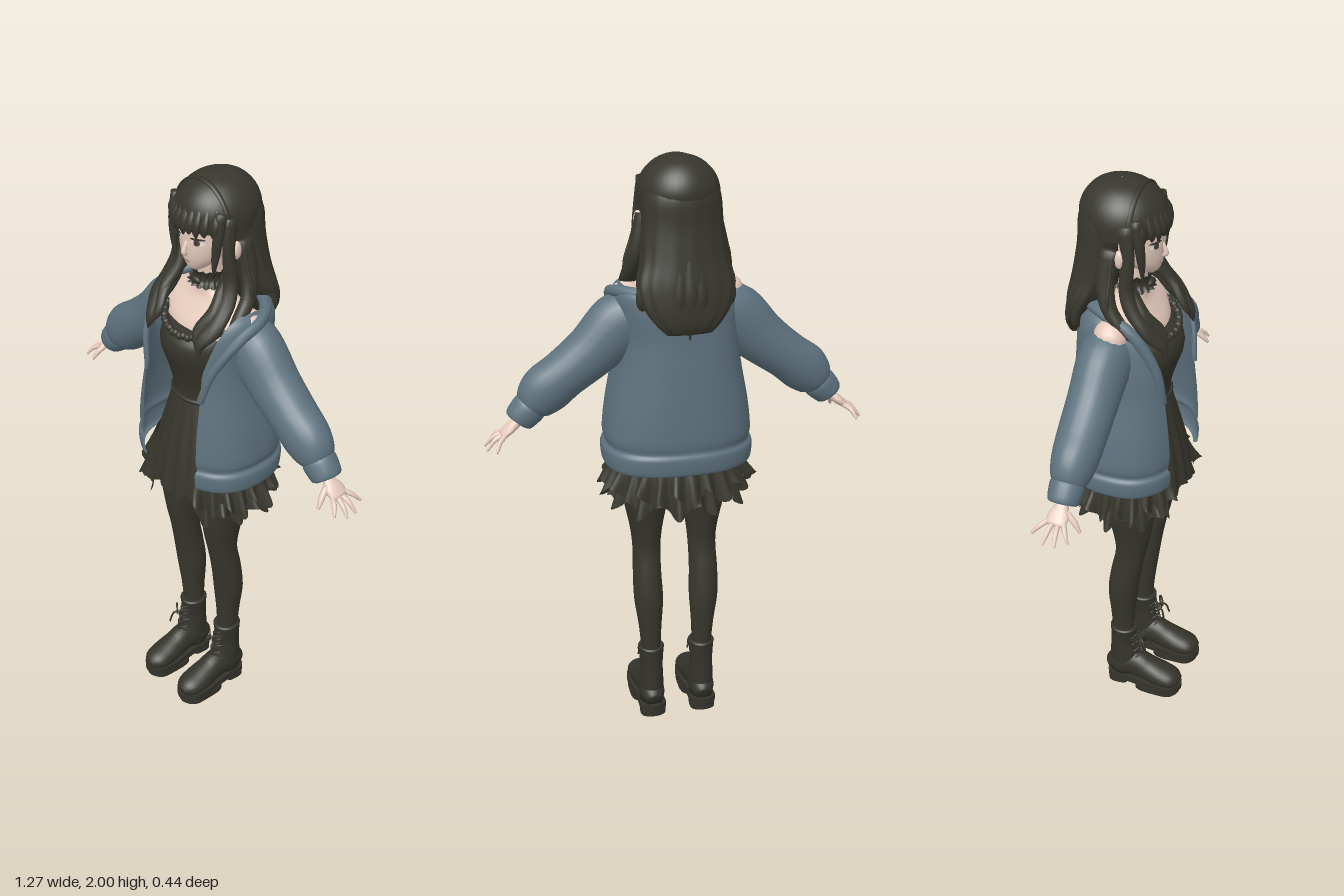
import * as THREE from 'three';

const mat = (name, color, double) => {
  const m = new THREE.MeshStandardMaterial({ color });
  m.name = name;
  if (double) m.side = THREE.DoubleSide;
  return m;
};
const { PI, sin, cos, abs, sign, max, min, sqrt } = Math;

// Sweeps an ellipse through points [x, y, z, radiusA, radiusB].
// 'out' is the direction of radiusB; 'up' keeps the rings level;
// 'arc' opens the ring; 'e' below 1 squares it; 'shape' moves vertices.
function sweep(pts, o = {}) {
  const { n = 18, out = [0, 0, 1], up = false, arc = null, e = 1, shape = null } = o;
  const m = o.m || (pts.length - 1) * 4;
  const path = new THREE.CatmullRomCurve3(pts.map(p => new THREE.Vector3(p[0], p[1], p[2])), false, 'catmullrom', 0.5);
  const radii = new THREE.CatmullRomCurve3(pts.map(p => new THREE.Vector3(p[3], p[4] ?? p[3], 0)), false, 'catmullrom', 0.5);
  const ref = new THREE.Vector3(...out), pos = [], idx = [], cols = arc ? n + 1 : n;
  for (let i = 0; i <= m; i++) {
    const t = i / m, c = path.getPoint(t), r = radii.getPoint(t);
    const T = up ? new THREE.Vector3(0, 1, 0) : path.getTangent(t);
    const A = T.clone().cross(ref).normalize(), B = A.clone().cross(T);
    const [a0, a1] = arc ? arc(c, r.x) : [0, 2 * PI];
    for (let j = 0; j < cols; j++) {
      const th = a0 + (a1 - a0) * j / n, u = cos(th), v = sin(th);
      const p = c.clone()
        .addScaledVector(A, max(r.x, 0.0005) * sign(u) * abs(u) ** e)
        .addScaledVector(B, max(r.y, 0.0005) * sign(v) * abs(v) ** e);
      if (shape) shape(p, t, th, c);
      pos.push(p.x, p.y, p.z);
    }
  }
  for (let i = 0; i < m; i++) for (let j = 0; j < n; j++) {
    const k = arc ? j + 1 : (j + 1) % n, a = i * cols + j, b = a + cols, c = i * cols + k, d = c + cols;
    idx.push(a, b, c, b, d, c);
  }
  if (!arc && !o.open) for (const [row, flip, p] of [[0, false, pts[0]], [m, true, pts[pts.length - 1]]]) {
    const mid = pos.length / 3;
    pos.push(p[0], p[1], p[2]);
    for (let j = 0; j < n; j++) {
      const a = row * n + j, b = row * n + (j + 1) % n;
      idx.push(mid, flip ? b : a, flip ? a : b);
    }
  }
  const g = new THREE.BufferGeometry();
  g.setAttribute('position', new THREE.Float32BufferAttribute(pos, 3));
  g.setIndex(idx);
  g.computeVertexNormals();
  return g;
}
// Level sections [y, z centre, x radius, z radius, x centre]
const stack = (rows, o = {}) => sweep(rows.map(([y, z, a, b, x = 0]) => [x, y, z, a, b]), { up: true, n: 32, ...o });

export function createModel() {
  const skin = mat('skin', 0xe6cbbd), hair = mat('hair', 0x38372e, true), dress = mat('dress', 0x36352c, true);
  const tights = mat('tights', 0x37362d), boots = mat('boots', 0x34332b), jacket = mat('jacket', 0x5e727e, true);
  const white = mat('eyeWhite', 0xe4e0dc), iris = mat('iris', 0x5a4a42), lip = mat('lips', 0xc48f87);
  const root = new THREE.Group();
  root.name = 'girlInJacket';
  const add = (name, geo, material, parent = root) => {
    const mesh = new THREE.Mesh(geo, material);
    mesh.name = name;
    parent.add(mesh);
    return mesh;
  };
  const ball = (name, material, p, s, parent) => {
    const b = add(name, new THREE.SphereGeometry(1, 14, 10), material, parent);
    b.position.set(...p);
    b.scale.set(...s);
    return b;
  };

  // Head and face
  const head = add('head', stack([[1.705, .05, .014, .016], [1.72, .04, .036, .04], [1.75, .022, .064, .068], [1.79, .008, .083, .085],
    [1.83, 0, .09, .092], [1.88, -.01, .095, .1], [1.95, -.02, .08, .09], [1.98, -.03, .04, .05]]), skin);
  const ray = new THREE.Raycaster();
  const decal = (name, x, y, a, b, lift, material) => {
    const g = new THREE.CircleGeometry(1, 20).scale(a, b, 1).translate(x, y, 0), p = g.attributes.position;
    for (let i = 0; i < p.count; i++) {
      ray.set(new THREE.Vector3(p.getX(i), p.getY(i), 1), new THREE.Vector3(0, 0, -1));
      const hit = ray.intersectObject(head)[0];
      p.setZ(i, (hit ? hit.point.z : 0.08) + lift);
    }
    g.computeVertexNormals();
    add(name, g, material);
  };
  for (const s of [-1, 1]) {
    decal('eyeWhite', s * .041, 1.816, .019, .011, .002, white);
    decal('iris', s * .04, 1.816, .0095, .011, .0035, iris);
    decal('pupil', s * .04, 1.816, .005, .006, .0045, hair);
    decal('upperLash', s * .042, 1.828, .022, .004, .005, hair);
    ball('ear', skin, [s * .122, 1.795, .0], [.014, .03, .017]);
  }
  decal('mouth', 0, 1.744, .015, .004, .002, lip);
  add('nose', sweep([[0, 1.81, .09, .005, .004], [0, 1.785, .1, .008, .007], [0, 1.773, .1, .009, .008], [0, 1.765, .088, .005, .004]], { n: 10 }), skin);

  // Neck, chest and shoulders
  add('neckAndChest', stack([[1.36, .01, .1, .08], [1.45, .015, .13, .1], [1.52, .015, .155, .085], [1.565, 0, .175, .07], [1.6, -.01, .13, .055],
    [1.63, -.01, .06, .048], [1.67, -.005, .044, .044], [1.76, .005, .042, .044]]), skin);
  for (const s of [-1, 1]) ball('shoulder', skin, [s * .165, 1.55, -.01], [.055, .055, .055]);

  // Choker with frilled edges
  const frill = (p, t, th, c) => {
    const k = 1 + .09 * sin(th * 16) * abs(t * 2 - 1);
    p.x = c.x + (p.x - c.x) * k;
    p.z = c.z + (p.z - c.z) * k;
  };
  add('choker', stack([[1.645, .005, .064, .058], [1.66, 0, .05, .049], [1.68, 0, .049, .049], [1.7, .002, .06, .056]], { n: 96, open: true, shape: frill }), dress);
  ball('chokerBow', dress, [0, 1.665, .056], [.022, .013, .01]);

  // Hair: dome, back curtain, fringe, locks and band
  add('hairDome', stack([[1.85, -.034, .128, .128], [1.9, -.035, .128, .135], [1.945, -.036, .11, .118], [1.98, -.038, .074, .082],
    [1.996, -.039, .034, .04], [2, -.04, .003, .003]], { n: 40, open: true }), hair);
  add('hairBack', stack([[1.93, -.05, .11, .1], [1.88, -.07, .124, .1], [1.8, -.087, .128, .085], [1.7, -.108, .138, .078], [1.62, -.135, .155, .064],
    [1.55, -.16, .135, .045], [1.5, -.175, .1, .028], [1.47, -.178, .07, .014]].reverse(), { n: 72, shape: (p, t, th, c) => {
    const k = 1 + .035 * sin(th * 14) * (1 - t);
    p.x *= k;
    p.z = c.z + (p.z - c.z) * k;
  } }), hair);
  for (let i = -4; i <= 4; i++) {
    const x = i * .03, low = 1.45 + .02 * abs(i) + .02 * (i & 1), z = -.19 + .0035 * i * i;
    add('backLock', sweep([[x * .8, 1.78, z + .035, .012, .012], [x, 1.66, z + .012, .024, .017], [x * 1.15, 1.57, z - .005, .022, .014],
      [x * 1.05, low, z + .005, .002, .002]], { n: 10 }), hair);
    const fx = i * .023, fz = -.03 + .134 * sqrt(1 - (fx / .13) ** 2);
    add('fringeLock', sweep([[fx * .8, 1.94, fz - .03, .01, .006], [fx, 1.89, fz - .003, .017, .009], [fx, 1.86, fz, .015, .008],
      [fx * 1.04, 1.838 + .008 * (i & 1), fz - .001, .003, .003]], { n: 10 }), hair);
  }
  for (const s of [-1, 1]) {
    const lock = (name, pts) => add(name, sweep(pts.map(([x, ...r]) => [s * x, ...r]), { n: 12 }), hair);
    lock('templeLock', [[.1, 1.92, .04, .018, .02], [.1, 1.84, .055, .017, .016], [.093, 1.77, .06, .012, .011], [.086, 1.71, .06, .002, .002]]);
    lock('frontLock', [[.11, 1.9, .01, .016, .026], [.116, 1.8, .026, .018, .02], [.118, 1.7, .02, .026, .022], [.125, 1.63, .045, .034, .024],
      [.13, 1.57, .098, .034, .02], [.115, 1.52, .14, .02, .015], [.12, 1.475, .152, .002, .002]]);
    lock('innerLock', [[.115, 1.76, .01, .014, .015], [.1, 1.68, .03, .02, .018], [.112, 1.61, .08, .022, .018], [.09, 1.55, .13, .017, .012], [.105, 1.5, .15, .002, .002]]);
    lock('outerLock', [[.118, 1.82, -.03, .018, .03], [.135, 1.72, -.04, .024, .03], [.155, 1.64, -.02, .024, .024], [.162, 1.58, .03, .02, .018], [.155, 1.52, .08, .002, .002]]);
    lock('strayLock', [[.128, 1.82, -.02, .005, .006], [.15, 1.74, -.02, .005, .006], [.17, 1.67, -.02, .006, .007], [.165, 1.6, -.01, .009, .008], [.18, 1.55, -.02, .001, .001]]);
  }
  const band = [];
  for (let i = 0; i <= 10; i++) band.push([.118 * cos(i * PI / 10), 1.865 + .122 * sin(i * PI / 10), .025, .007, .01]);
  add('headband', sweep(band, { n: 8 }), dress);

  // Bodice with a frilled neckline
  add('bodice', stack([[1.24, .02, .108, .095], [1.3, .02, .11, .098], [1.37, .022, .125, .115], [1.43, .03, .137, .126], [1.475, .03, .136, .124],
    [1.505, .025, .13, .105], [1.515, .02, .125, .09]]), dress);
  for (let i = 0; i <= 26; i++) {
    const a = PI * (i / 26), x = .132 * cos(a);
    ball('necklineFrill', dress, [x, 1.505 + 1.8 * x * x + .004 * (i & 1), .025 + .112 * sin(a)], [.013, .013, .013]);
  }
  add('waistSeam', stack([[1.25, .02, .112, .1], [1.258, .02, .116, .104], [1.266, .02, .112, .1]]), dress);

  // Pleated skirt and two jagged ruffle tiers
  add('skirt', stack([[1.26, .02, .108, .096], [1.18, .018, .13, .12], [1.06, .01, .168, .156], [.92, .005, .2, .185]], { n: 120, open: true, shape: (p, t, th, c) => {
    const k = 1 + .035 * t * sin(th * 20);
    p.x *= k;
    p.z = c.z + (p.z - c.z) * k;
    p.y -= .012 * t * t * sin(th * 10);
  } }), dress);
  const ruffle = (name, rows, gap, f, phase) => add(name, stack(rows, { n: 168, m: 8, arc: () => [PI / 2 + gap, 2.5 * PI - gap], shape: (p, t, th, c) => {
    const zig = sin(th * f + phase) + .5 * sin(th * f * .37 + phase);
    const k = 1 + .07 * t * zig;
    p.x *= k;
    p.z = c.z + (p.z - c.z) * k;
    p.y += .026 * t * t * sin(th * f * .5 + phase);
  } }), dress);
  ruffle('upperRuffle', [[1.04, 0, .2, .16], [.97, 0, .222, .182], [.905, 0, .25, .2]], .4, 26, 0);
  ruffle('lowerRuffle', [[1, 0, .18, .155], [.93, 0, .205, .175], [.86, 0, .228, .195]], .5, 22, 1.3);

  // Jacket body with an open front, hem band and collar
  const e = .8;
  const opening = (c, ra) => {
    const w = .13 + max(0, c.y - 1.42) * .25, edge = x => Math.acos(min(1, x / ra) ** (1 / e));
    return [PI - edge(w + c.x), 2 * PI + edge(w - c.x)];
  };
  add('jacketBody', stack([[.985, 0, .232, .178], [.995, 0, .247, .19], [1.045, 0, .25, .194], [1.065, 0, .238, .185], [1.1, 0, .244, .19],
    [1.2, 0, .232, .187], [1.33, 0, .208, .178], [1.43, 0, .2, .17], [1.52, -.008, .2, .158, .01], [1.575, -.018, .19, .138, .018],
    [1.605, -.025, .165, .115, .02]], { n: 64, arc: opening, e }), jacket);
  add('collar', sweep([[-.13, 1.32, .15, .008, .012], [-.15, 1.45, .13, .012, .016], [-.165, 1.57, .06, .016, .02], [-.15, 1.61, -.03, .02, .018],
    [-.08, 1.61, -.12, .024, .018], [.03, 1.595, -.145, .026, .018], [.13, 1.585, -.115, .022, .02], [.205, 1.58, -.03, .018, .02],
    [.205, 1.54, .06, .016, .018], [.165, 1.44, .13, .012, .014], [.13, 1.32, .155, .008, .012]], { n: 10, out: [0, 1, .01] }), jacket);

  // Sleeves, cuffs and hands
  for (const s of [-1, 1]) {
    const arm = new THREE.Group();
    arm.name = s > 0 ? 'leftArm' : 'rightArm';
    root.add(arm);
    const limb = (name, pts, material, n = 20) => add(name, sweep(pts.map(([x, ...r]) => [s * x, ...r]), { n }), material, arm);
    limb('sleeve', [[.13, 1.5, -.022, .085, .085], [.19, 1.468, -.022, .102, .085], [.28, 1.385, -.022, .088, .08], [.37, 1.315, -.02, .08, .077],
      [.43, 1.268, -.018, .083, .072], [.468, 1.232, -.018, .07, .062], [.487, 1.212, -.018, .05, .05]], jacket, 24);
    limb('cuff', [[.478, 1.22, -.018, .052, .05], [.49, 1.207, -.018, .056, .055], [.52, 1.176, -.018, .05, .05], [.526, 1.169, -.018, .04, .042]], jacket);
    limb('palm', [[.5, 1.19, -.018, .02, .022], [.53, 1.163, -.018, .017, .022], [.555, 1.143, -.019, .016, .034], [.58, 1.123, -.02, .011, .032]], skin, 14);
    const tips = [[.612, 1.09, .035], [.634, 1.083, 0], [.632, 1.08, -.04], [.604, 1.09, -.088]];
    tips.forEach(([x, y, z], i) => {
      const z0 = .004 - i * .016;
      limb('finger', [[.57, 1.13, z0, .009, .009], [(.57 + x) / 2 + .004, (1.13 + y) / 2 + .006, (z0 + z) / 2, .008, .008], [x, y, z, .004, .004]], skin, 8);
    });
    limb('thumb', [[.54, 1.15, .0, .011, .011], [.55, 1.128, .03, .01, .01], [.558, 1.1, .052, .005, .005]], skin, 8);
  }

  // Legs and laced boots
  const plate = (pts, y0, y1) => {
    const shape = new THREE.Shape(new THREE.CatmullRomCurve3(pts.map(([x, z]) => new THREE.Vector3(x, -z, 0)), true).getPoints(40).map(p => new THREE.Vector2(p.x, p.y)));
    return new THREE.ExtrudeGeometry(shape, { depth: y1 - y0, bevelEnabled: false }).rotateX(-PI / 2).translate(0, y0, 0);
  };
  for (const s of [-1, 1]) {
    add(s > 0 ? 'leftLeg' : 'rightLeg', stack([[.22, -.006, .032, .036, s * .091], [.34, -.006, .039, .044, s * .094], [.45, -.003, .05, .053, s * .098],
      [.55, .01, .049, .053, s * .1], [.64, .026, .048, .053, s * .098], [.72, .03, .056, .066, s * .098], [.85, .024, .08, .086, s * .1],
      [.97, .015, .09, .1, s * .1], [1.08, .01, .085, .1, s * .085]], { n: 24 }), tights);
    const boot = new THREE.Group();
    boot.name = s > 0 ? 'leftBoot' : 'rightBoot';
    boot.position.x = s * .091;
    root.add(boot);
    add('shaft', stack([[.05, -.005, .043, .052], [.12, -.002, .043, .054], [.19, -.006, .04, .046], [.25, -.004, .044, .049], [.262, -.004, .046, .05], [.268, -.004, .04, .045]], { n: 24 }), boots, boot);
    add('foot', sweep([[0, .06, -.056, .028, .03], [0, .08, -.02, .044, .045], [0, .09, .04, .044, .056], [0, .078, .09, .047, .048], [0, .066, .14, .051, .042],
      [0, .058, .185, .046, .034], [0, .05, .212, .024, .018]], { n: 24, out: [0, 1, 0] }), boots, boot);
    add('sole', plate([[0, -.063], [.042, -.045], [.044, .02], [.048, .08], [.054, .14], [.044, .195], [0, .22], [-.044, .195], [-.054, .14], [-.048, .08], [-.044, .02], [-.042, -.045]], .02, .045), boots, boot);
    add('heel', plate([[0, -.06], [.04, -.045], [.042, .0], [.036, .015], [-.036, .015], [-.042, 0], [-.04, -.045]], 0, .022), boots, boot);
    add('tread', plate([[0, .05], [.045, .06], [.052, .14], [.042, .19], [0, .212], [-.042, .19], [-.052, .14], [-.045, .06]], 0, .022), boots, boot);
    for (let i = 0; i < 4; i++) for (const d of [-1, 1]) {
      const y = .135 + i * .03, z = .064 - i * .006;
      add('lace', sweep([[-d * .025, y, z - .014, .0035], [0, y + .012, z, .0035], [d * .025, y + .024, z - .016, .0035]], { n: 6 }), boots, boot);
    }
    for (const d of [-1, 1]) {
      const loop = add('bowLoop', new THREE.TorusGeometry(.018, .0035, 6, 16), boots, boot);
      loop.position.set(d * .02, .225, .06);
      loop.rotation.set(0, d * .7, 0);
      add('laceEnd', sweep([[0, .225, .05, .0035], [d * .018, .215, .078, .0035], [d * .026, .175, .09, .0035]], { n: 6 }), boots, boot);
    }
  }
  return root;
}
